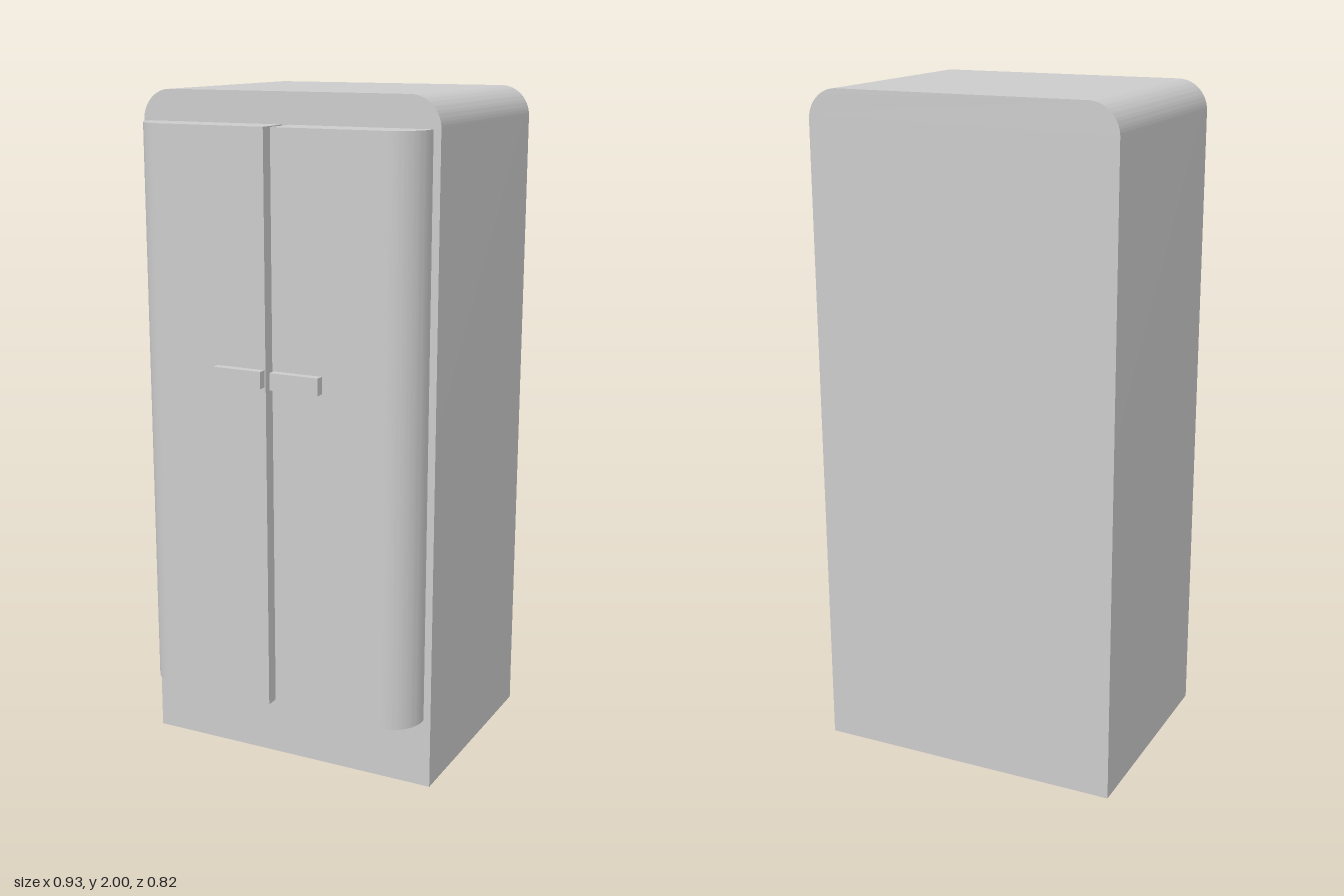
import * as THREE from 'three';
import { toCreasedNormals } from 'three/addons/utils/BufferGeometryUtils.js';

const W = 0.465, H = 2, BACK = -0.412, FRONT = 0.277, DOOR_FRONT = 0.387;

// Solid extrusion with smooth curves and sharp edges
function extrude(shape, depth) {
  const geometry = new THREE.ExtrudeGeometry(shape, { depth, bevelEnabled: false, curveSegments: 16 });
  return toCreasedNormals(geometry, Math.PI / 6);
}

export function createModel() {
  const model = new THREE.Group();
  model.name = 'refrigerator';
  const material = new THREE.MeshStandardMaterial({ color: 0xcccccc });

  const add = (name, geometry) => {
    const mesh = new THREE.Mesh(geometry, material);
    mesh.name = name;
    model.add(mesh);
    return mesh;
  };

  // Cabinet: front outline with rounded top corners, extruded from back to front
  const r = 0.09;
  const outline = new THREE.Shape();
  outline.moveTo(-W, 0);
  outline.lineTo(W, 0);
  outline.lineTo(W, H - r);
  outline.absarc(W - r, H - r, r, 0, Math.PI / 2, false);
  outline.lineTo(-W + r, H);
  outline.absarc(-W + r, H - r, r, Math.PI / 2, Math.PI, false);
  outline.closePath();
  add('cabinet', extrude(outline, FRONT - BACK)).position.z = BACK;

  for (const [side, s] of [['left', 1], ['right', -1]]) {
    // Door: plan outline with a rounded outer front corner, extruded downwards
    const inner = 0.011, outer = 0.443, rd = 0.1;
    const plan = new THREE.Shape();
    plan.moveTo(s * inner, FRONT);
    plan.lineTo(s * outer, FRONT);
    plan.lineTo(s * outer, DOOR_FRONT - rd);
    plan.absarc(s * (outer - rd), DOOR_FRONT - rd, rd, s > 0 ? 0 : Math.PI, Math.PI / 2, s < 0);
    plan.lineTo(s * inner, DOOR_FRONT);
    plan.closePath();
    const door = add(side + 'Door', extrude(plan, 1.7));
    door.rotation.x = Math.PI / 2;
    door.position.y = 1.91;

    // Handle: flat horizontal bar beside the gap
    const handle = add(side + 'Handle', new THREE.BoxGeometry(0.152, 0.05, 0.025));
    handle.position.set(s * 0.091, 1.21, DOOR_FRONT + 0.0125);
  }

  return model;
}
